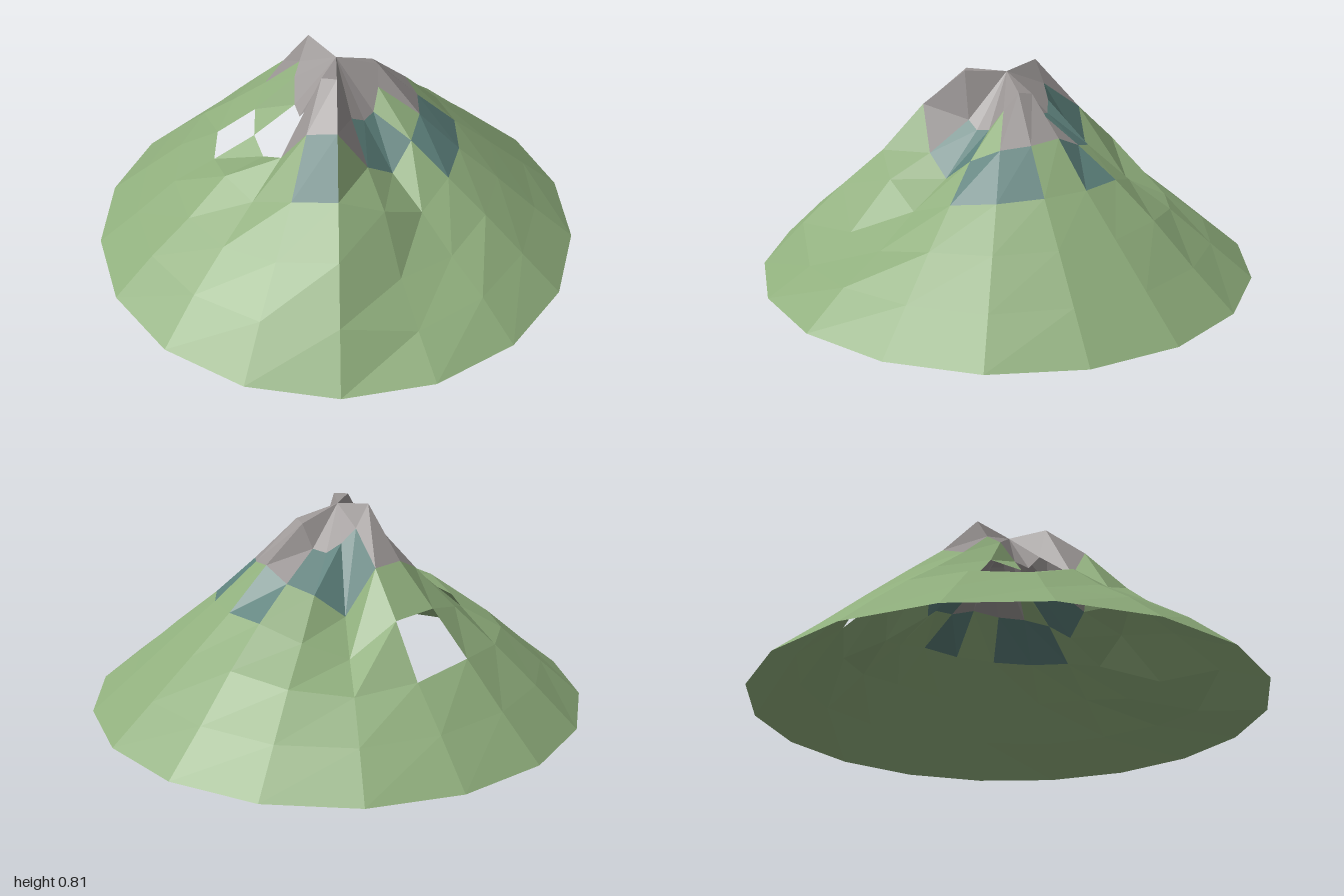
import * as THREE from 'three';

const SEGMENTS = 18;
const RINGS = 6;
const PEAK = 0.78;

// Height of each ring, from the inside out, at 20 degree steps from +x towards +z
const HEIGHTS = [
  [0.72, 0.73, 0.66, 0.58, 0.57, 0.60, 0.785, 0.785, 0.63, 0.56, 0.58, 0.67, 0.71, 0.805, 0.715, 0.66, 0.62, 0.63],
  [0.58, 0.565, 0.55, 0.50, 0.41, 0.485, 0.655, 0.64, 0.49, 0.43, 0.454, 0.50, 0.558, 0.61, 0.60, 0.42, 0.50, 0.53],
  [0.42, 0.415, 0.40, 0.38, 0.32, 0.40, 0.47, 0.45, 0.38, 0.40, 0.358, 0.366, 0.42, 0.46, 0.446, 0.315, 0.37, 0.42],
  [0.28, 0.28, 0.27, 0.26, 0.21, 0.21, 0.33, 0.30, 0.27, 0.26, 0.27, 0.28, 0.29, 0.307, 0.27, 0.24, 0.26, 0.29],
  [0.14, 0.14, 0.13, 0.13, 0.12, 0.10, 0.17, 0.16, 0.15, 0.14, 0.13, 0.14, 0.15, 0.15, 0.14, 0.13, 0.13, 0.14],
];

// Cover of each cell per band: r rock, t teal, g grass, . open gap
const COVER = [
  'rrrrrrrrrrrrrrrrrr',
  'rrgttrrr..ggrrtttr',
  'gttgggtggg.ggggggt',
  'ggggggggggggg.gggg',
  'gggggggggggggggggg',
  'gggggggggggggggggg',
];

function point(ring, seg) {
  const s = seg % SEGMENTS;
  const a = (s / SEGMENTS) * Math.PI * 2;
  const r = ring / RINGS;
  const y = ring === 0 ? PEAK : ring === RINGS ? 0 : HEIGHTS[ring - 1][s];
  return [r * Math.cos(a), y, r * Math.sin(a)];
}

// Gather every cell that has the given cover into one faceted surface
function surface(name, cover, color) {
  const positions = [];
  for (let ring = 0; ring < RINGS; ring++) {
    for (let s = 0; s < SEGMENTS; s++) {
      if (COVER[ring][s] !== cover) continue;
      const a = point(ring, s), b = point(ring, s + 1);
      const c = point(ring + 1, s + 1), d = point(ring + 1, s);
      positions.push(...a, ...c, ...d);
      if (ring > 0) positions.push(...a, ...b, ...c);
    }
  }
  const geometry = new THREE.BufferGeometry();
  geometry.setAttribute('position', new THREE.Float32BufferAttribute(positions, 3));
  geometry.computeVertexNormals();
  const material = new THREE.MeshStandardMaterial({ color, flatShading: true, side: THREE.DoubleSide });
  material.name = name + 'Colour';
  const mesh = new THREE.Mesh(geometry, material);
  mesh.name = name;
  return mesh;
}

export function createModel() {
  const mountain = new THREE.Group();
  mountain.name = 'mountain';
  mountain.add(
    surface('grassSlopes', 'g', 0x8fae7c),
    surface('rockPeak', 'r', 0x9a9594),
    surface('tealPatches', 't', 0x5c807b),
  );
  return mountain;
}
